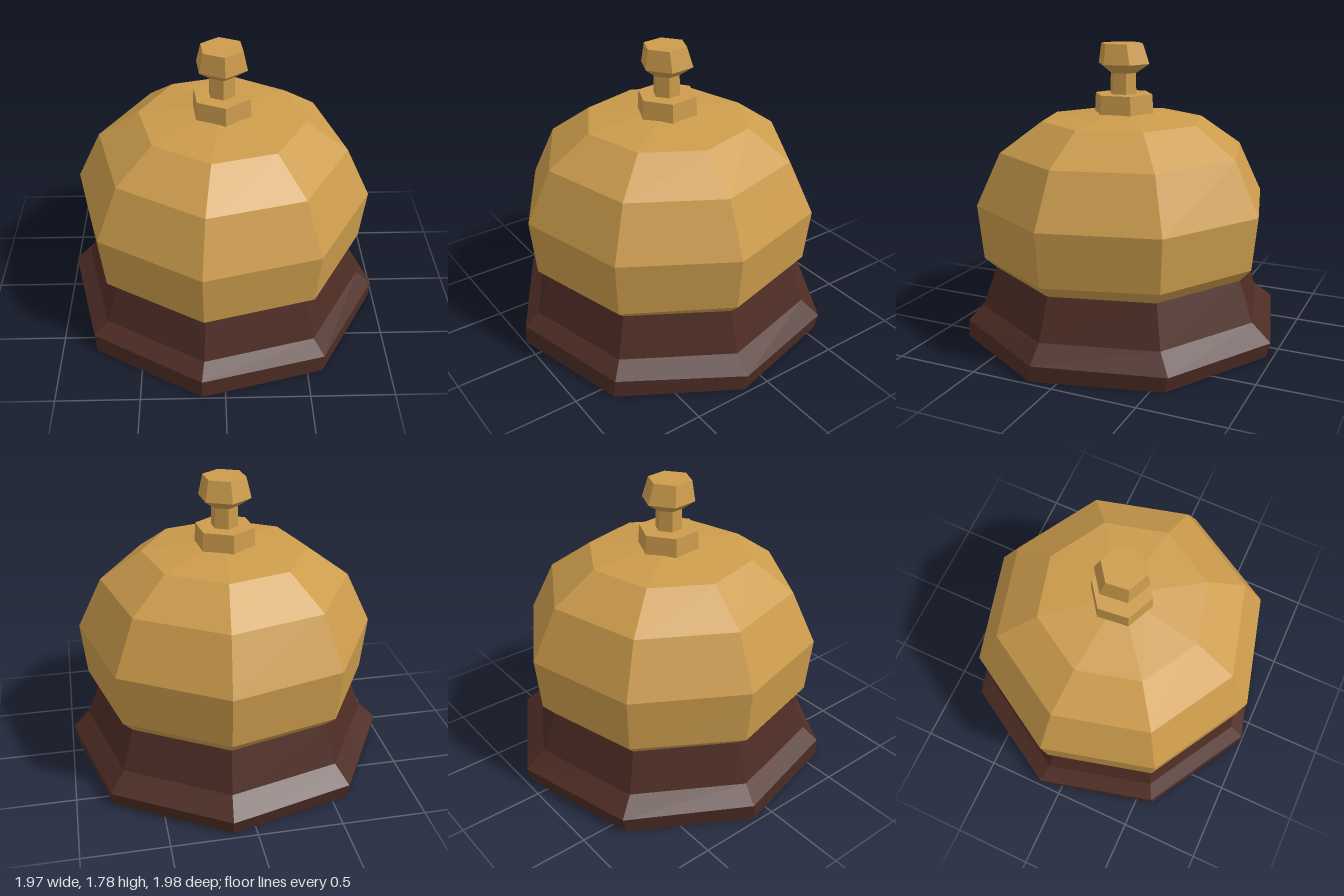
import * as THREE from 'three';

const brass = new THREE.MeshStandardMaterial({ color: 0xcc9c4c, flatShading: true });
brass.name = 'brass';
const wood = new THREE.MeshStandardMaterial({ color: 0x4d2c24, flatShading: true });
wood.name = 'dark wood';

// Closed faceted solid from rings [y, radius, centreZ, tiltX, tiltZ], bottom to top
function loft(name, material, sides, startDegrees, rings) {
  const positions = [];
  const index = [];
  for (const [y, r, cz, tiltX = 0, tiltZ = 0] of rings) {
    for (let i = 0; i < sides; i++) {
      const a = THREE.MathUtils.degToRad(startDegrees) + (i / sides) * Math.PI * 2;
      const x = Math.sin(a) * r;
      const z = Math.cos(a) * r;
      positions.push(x, y + tiltX * x + tiltZ * z, z + cz);
    }
  }
  for (let k = 0; k < rings.length - 1; k++) {
    for (let i = 0; i < sides; i++) {
      const a = k * sides + i;
      const b = k * sides + ((i + 1) % sides);
      index.push(a, b, b + sides, a, b + sides, a + sides);
    }
  }
  // End caps
  const top = (rings.length - 1) * sides;
  for (let i = 1; i < sides - 1; i++) {
    index.push(0, i + 1, i);
    index.push(top, top + i, top + i + 1);
  }
  const indexed = new THREE.BufferGeometry();
  indexed.setAttribute('position', new THREE.Float32BufferAttribute(positions, 3));
  indexed.setIndex(index);
  const geometry = indexed.toNonIndexed();
  geometry.computeVertexNormals();
  const mesh = new THREE.Mesh(geometry, material);
  mesh.name = name;
  return mesh;
}

export function createModel() {
  const model = new THREE.Group();
  model.name = 'serviceBell';

  // Flared octagonal foot
  model.add(loft('base', wood, 8, -8, [
    [0, 0.985, 0.015],
    [0.105, 0.995, 0, -0.008, 0.012],
    [0.195, 0.89, 0.015],
    [0.445, 0.8, 0.015],
  ]));

  // Octagonal dome with an inward-turned lip
  model.add(loft('dome', brass, 8, -8, [
    [0.44, 0.803, 0.015],
    [0.505, 0.872, 0.015, 0.007, -0.01],
    [0.835, 0.905, 0.015],
    [1.15, 0.755, 0.018],
    [1.33, 0.5, 0.02],
    [1.375, 0.16, 0.015],
  ]));

  // Six-sided collar, stem and push button
  model.add(loft('collar', brass, 6, 6, [
    [1.36, 0.187, 0.015],
    [1.485, 0.18, 0.015],
  ]));
  model.add(loft('stem', brass, 6, 6, [
    [1.48, 0.082, 0.018],
    [1.62, 0.08, 0.018],
  ]));
  model.add(loft('button', brass, 6, 6, [
    [1.61, 0.082, 0.018],
    [1.665, 0.16, 0.015],
    [1.785, 0.131, 0.027],
  ]));

  return model;
}
